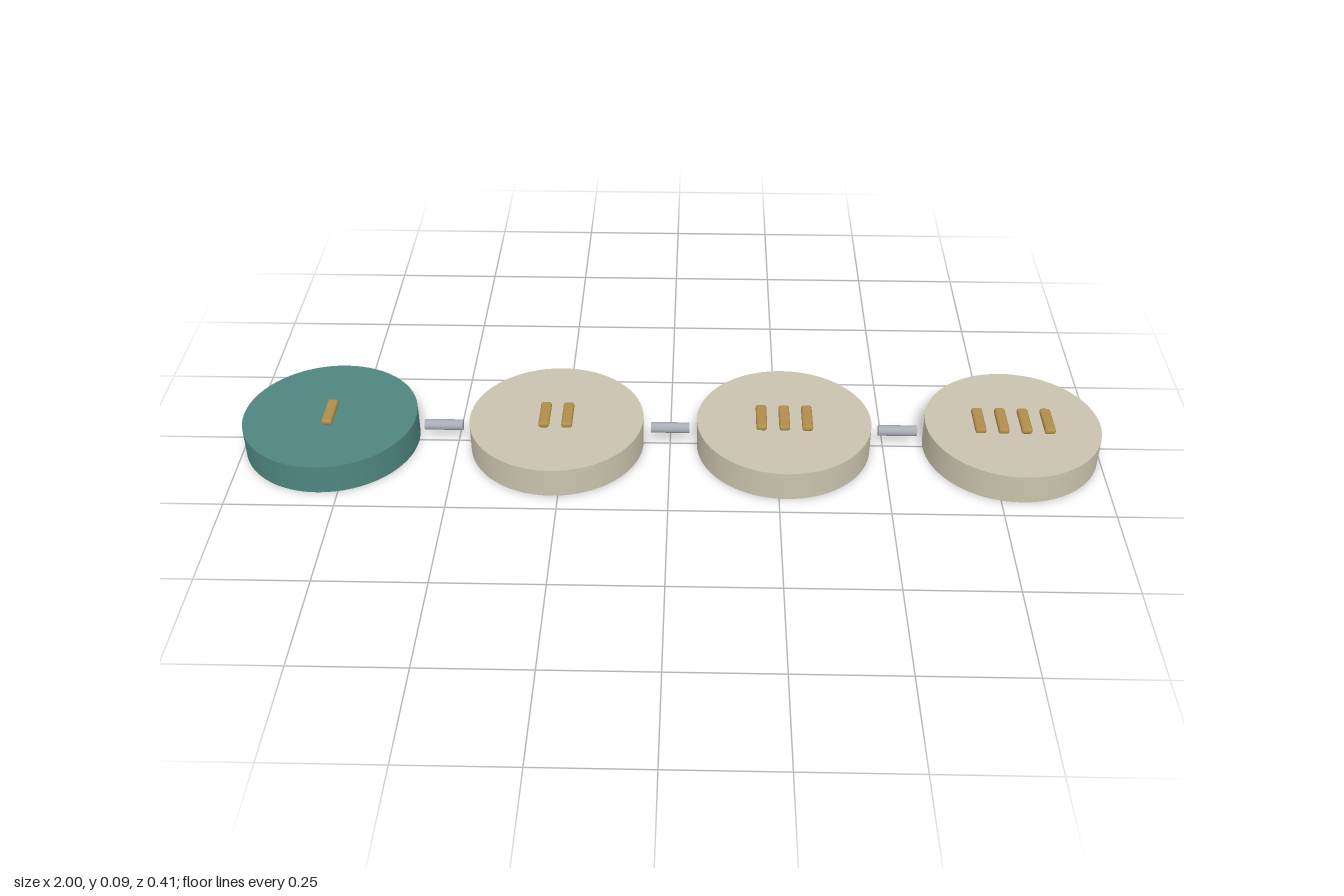
import * as THREE from 'three';
import { RoundedBoxGeometry } from 'three/addons/geometries/RoundedBoxGeometry.js';

const material = (name, color) => {
  const m = new THREE.MeshStandardMaterial({ color });
  m.name = name;
  return m;
};

export function createModel() {
  const teal = material('teal', 0x4f857f);
  const stone = material('stone', 0xc9c2ae);
  const brass = material('brass', 0xb08d4a);
  const steel = material('steel', 0xa9abb5);

  const pitch = 0.5314, radius = 0.203, height = 0.071;
  const discGeo = new THREE.CylinderGeometry(radius, radius, height, 64);
  const barGeo = new RoundedBoxGeometry(0.025, 0.0145, 0.088, 3, 0.006);
  const linkGeo = new THREE.CylinderGeometry(0.0125, 0.0125, 0.09, 20).rotateZ(Math.PI / 2);

  const model = new THREE.Group();
  model.name = 'linkedDiscs';
  const add = (parent, name, geometry, mat, x, y) => {
    const mesh = new THREE.Mesh(geometry, mat);
    mesh.name = name;
    mesh.position.set(x, y, 0);
    parent.add(mesh);
  };

  for (let i = 0; i < 4; i++) {
    // Disc carrying one to four raised counting bars
    const station = new THREE.Group();
    station.name = `station${i + 1}`;
    station.position.x = (i - 1.5) * pitch;
    add(station, 'disc', discGeo, i === 0 ? teal : stone, 0, height / 2);
    for (let k = 0; k <= i; k++) {
      add(station, `bar${k + 1}`, barGeo, brass, (k - i / 2) * 0.0531, 0.0785);
    }
    model.add(station);

    // Short rod floating in the gap to the next disc
    if (i < 3) add(model, `link${i + 1}`, linkGeo, steel, (i - 1) * pitch, 0.046);
  }
  return model;
}
